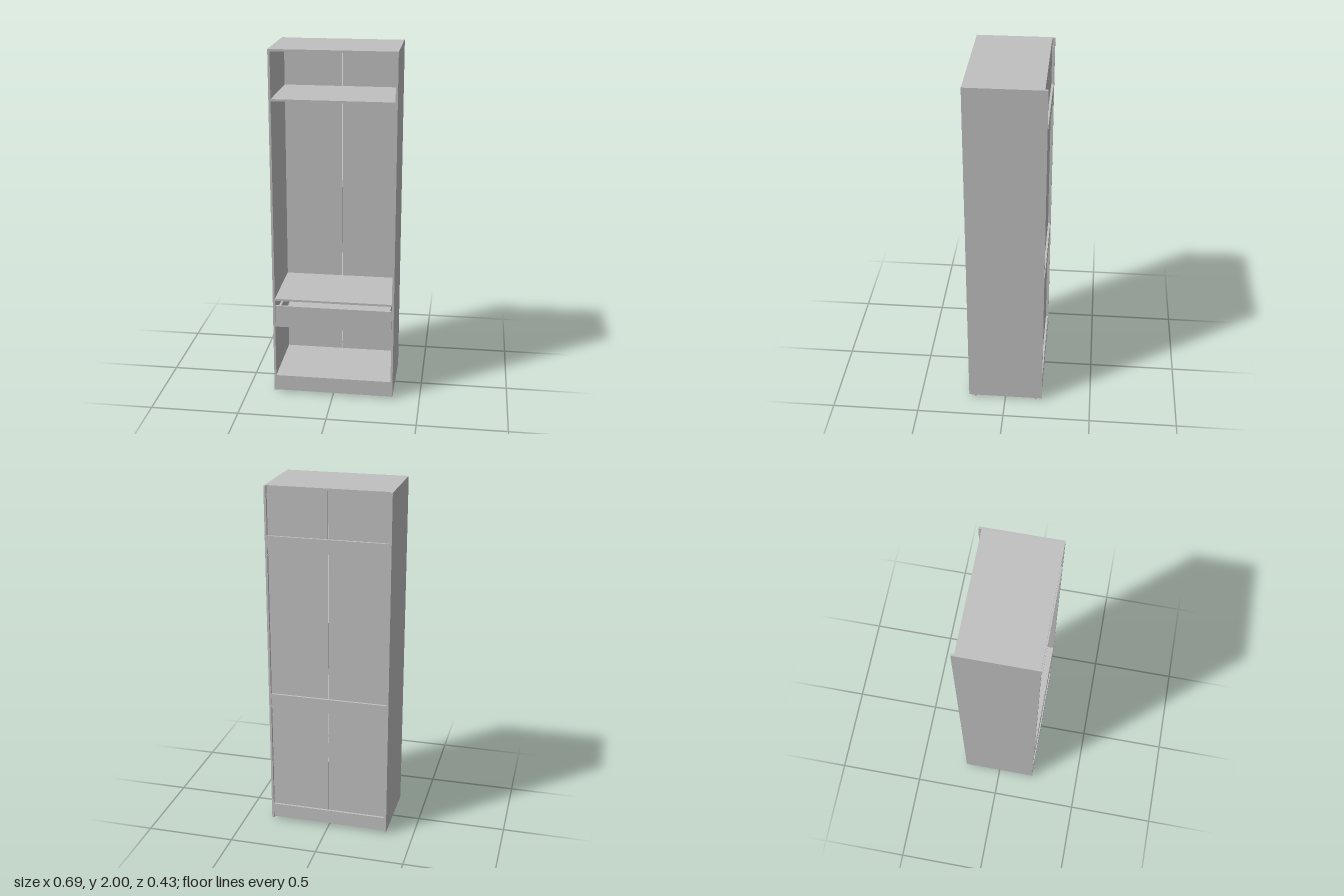
import * as THREE from 'three';

export function createModel() {
  const cabinet = new THREE.Group();
  cabinet.name = 'cabinet';
  const grey = new THREE.MeshStandardMaterial({ color: 0xc0c0c0 });
  grey.name = 'grey board';

  const W = 0.345, IN = 0.333; // outer and inner half widths

  // board given by its limits on each axis
  function board(name, x0, x1, y0, y1, z0, z1, parent = cabinet) {
    const m = new THREE.Mesh(new THREE.BoxGeometry(x1 - x0, y1 - y0, z1 - z0), grey);
    m.position.set((x0 + x1) / 2, (y0 + y1) / 2, (z0 + z1) / 2);
    m.name = name;
    parent.add(m);
    return m;
  }

  function disc(name, r, h, x, y, z, sideways) {
    const m = new THREE.Mesh(new THREE.CylinderGeometry(r, r, h, 12), grey);
    if (sideways) m.rotation.z = Math.PI / 2;
    m.position.set(x, y, z);
    m.name = name;
    cabinet.add(m);
  }

  // sides, feet, back panels and screw heads, mirrored
  for (const s of [-1, 1]) {
    const label = s > 0 ? 'left' : 'right';
    const span = (a, b) => (s > 0 ? [a, b] : [-b, -a]);
    board(label + 'Side', ...span(IN, W), 0.01, 2, -0.217, 0.215);
    for (const z of [-0.18, 0.18]) disc(label + 'Foot', 0.006, 0.012, s * 0.339, 0.006, z, false);
    board(label + 'LowerBackPanel', ...span(0.0015, IN), 0.1, 1.655, -0.201, -0.197);
    board(label + 'UpperBackPanel', ...span(0.0015, IN), 1.66, 1.992, -0.201, -0.197);
    for (const y of [1.95, 1.775, 1.625, 1.23, 0.83, 0.675, 0.405, 0.15])
      disc(label + 'ScrewHead', 0.004, 0.002, s * (IN - 0.001), y, -0.209, true);
  }

  // horizontal boards
  board('top', -IN, IN, 1.988, 2, -0.201, 0.214);
  for (const [name, y] of [['upperShelf', 1.722], ['middleShelf', 0.573], ['bottomShelf', 0.092]])
    board(name, -IN, IN, y, y + 0.012, -0.197, 0.214);

  // rails across the back
  for (const [y0, y1] of [[1.65, 1.73], [0.73, 0.81], [0.02, 0.102]])
    board('backRail', -IN, IN, y0, y1, -0.214, -0.201);

  // front plinth
  board('plinth', -IN, IN, 0.012, 0.092, 0.202, 0.214);

  // drawer box, open at the top
  const drawer = new THREE.Group();
  drawer.name = 'drawer';
  cabinet.add(drawer);
  board('drawerFront', -0.331, 0.331, 0.413, 0.542, 0.202, 0.214, drawer);
  board('drawerBottom', -0.31, 0.31, 0.428, 0.432, -0.165, 0.202, drawer);
  board('drawerBack', -0.308, 0.308, 0.432, 0.52, -0.177, -0.165, drawer);
  for (const s of [-1, 1]) {
    const side = board('drawerSide', 0.308, 0.32, 0.425, 0.52, -0.177, 0.202, drawer);
    side.position.x *= s;
    const runner = board('drawerRunner', 0.32, 0.333, 0.445, 0.465, -0.177, 0.2, drawer);
    runner.position.x *= s;
  }

  return cabinet;
}
